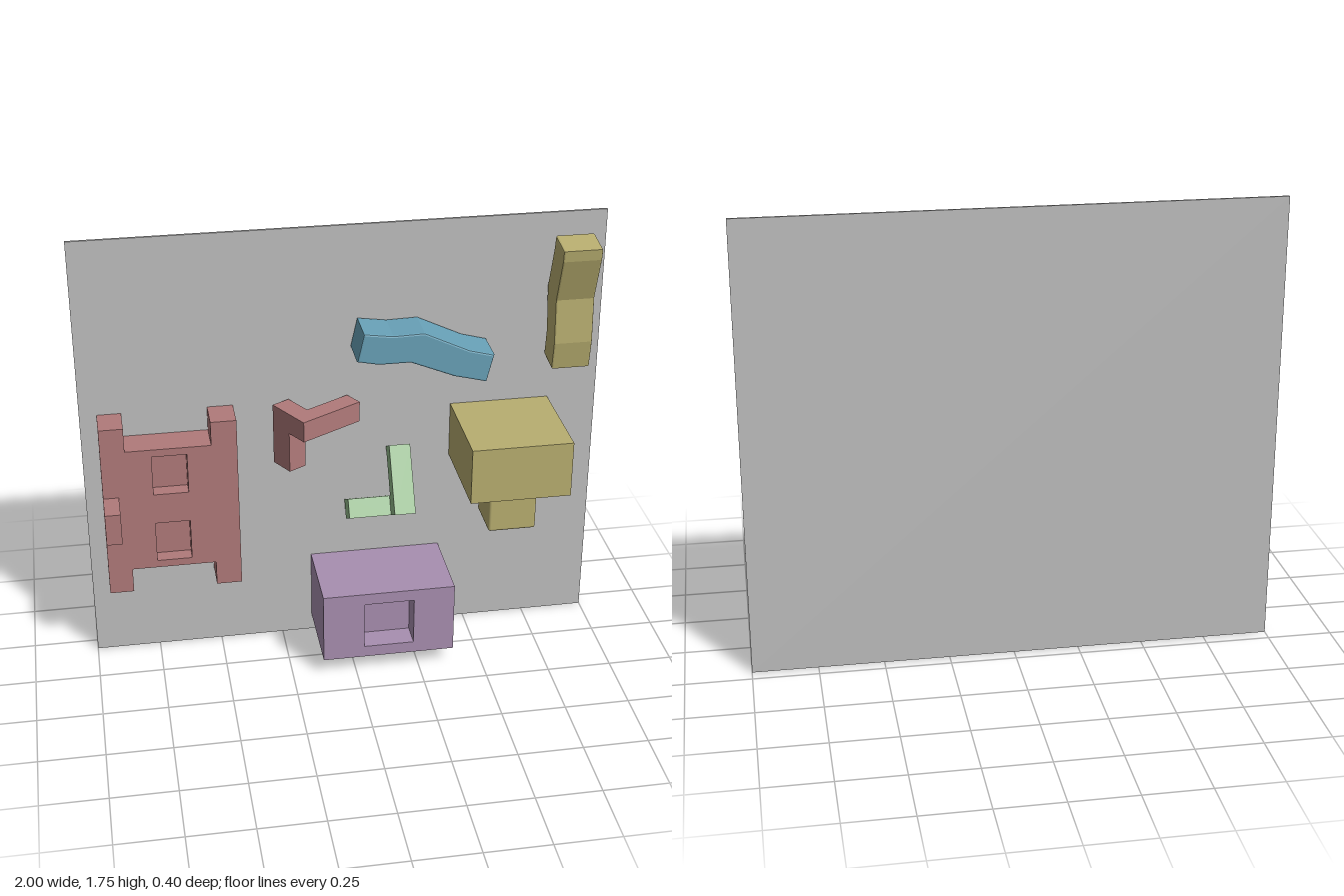
import * as THREE from 'three';
import { RoundedBoxGeometry } from 'three/addons/geometries/RoundedBoxGeometry.js';

const material = (name, color) => {
  const m = new THREE.MeshStandardMaterial({ color });
  m.name = name;
  return m;
};

const WALL = -0.19; // front surface of the board

export function createModel() {
  const grey = material('boardGrey', 0xbfbfbf);
  const red = material('dustyRed', 0xb07a7a);
  const purple = material('mutedPurple', 0xa88fb0);
  const yellow = material('strawYellow', 0xb8ae70);
  const blue = material('softBlue', 0x68a1b7);
  const green = material('leafGreen', 0x93bb8b);

  const model = new THREE.Group();
  model.name = 'climbingBoard';

  const add = (name, geometry, mat, parent = model) => {
    const mesh = new THREE.Mesh(geometry, mat);
    mesh.name = name;
    parent.add(mesh);
    return mesh;
  };

  // Box given by its extents on each axis
  const box = (name, [x0, x1], [y0, y1], [z0, z1], mat, parent) =>
    add(name, new THREE.BoxGeometry(x1 - x0, y1 - y0, z1 - z0), mat, parent)
      .position.set((x0 + x1) / 2, (y0 + y1) / 2, (z0 + z1) / 2);

  const points = (list) => list.map(([x, y]) => new THREE.Vector2(x, y));
  const rect = (x0, x1, y0, y1) => [[x0, y0], [x1, y0], [x1, y1], [x0, y1]];

  // Straight extrusion from one depth to another, with optional holes and rounded rims
  const slab = (outline, from, to, holes = [], bevel = 0) => {
    const shape = new THREE.Shape(points(outline));
    holes.forEach((h) => shape.holes.push(new THREE.Path(points(h))));
    return new THREE.ExtrudeGeometry(shape, {
      depth: to - from - 2 * bevel,
      bevelEnabled: bevel > 0,
      bevelThickness: bevel,
      bevelSize: bevel,
      bevelOffset: -bevel,
      bevelSegments: 2,
    }).translate(0, 0, from + bevel);
  };

  // Backing board
  box('board', [-1, 1], [0, 1.75], [-0.2, WALL], grey);

  // H-shaped tower with two recessed windows and a side knob
  const tower = new THREE.Group();
  tower.name = 'tower';
  model.add(tower);
  const towerOutline = [
    [-0.935, 0.34], [-0.843, 0.34], [-0.843, 0.44], [-0.52, 0.44], [-0.52, 0.34], [-0.422, 0.34],
    [-0.422, 1.052], [-0.52, 1.052], [-0.52, 0.955], [-0.843, 0.955], [-0.843, 1.052], [-0.935, 1.052],
  ];
  const windows = [[0.47, 0.637], [0.762, 0.925]].map(([a, b]) => rect(-0.745, -0.612, a, b));
  add('towerBack', slab(towerOutline, WALL, -0.12), red, tower);
  add('towerFront', slab(towerOutline, -0.12, -0.062, windows), red, tower);
  box('towerKnob', [-0.935, -0.876], [0.635, 0.762], [-0.062, 0.066], red, tower);

  // Three-armed corner piece: flat L plus a leg standing off the end of its short arm
  const cornerPiece = (name, mat, corner, longDir, shortDir, side) => {
    const piece = new THREE.Group();
    piece.name = name;
    const a = new THREE.Vector3(...longDir);
    const b = new THREE.Vector3(...shortDir);
    piece.quaternion.setFromRotationMatrix(
      new THREE.Matrix4().makeBasis(a, b, a.clone().cross(b)));
    piece.position.set(...corner);
    const t = 0.076;
    const el = [[0, 0], [0.27, 0], [0.27, t], [t, t], [t, 0.19], [0, 0.19]];
    add(name + 'Arms', slab(el, -0.041, 0.041), mat, piece);
    const leg = side > 0 ? [0.041, 0.205] : [-0.205, -0.041];
    box(name + 'Leg', [0, t], [0.09, 0.19], leg, mat, piece);
    model.add(piece);
  };
  const c = Math.cos(Math.PI / 6);
  cornerPiece('redCorner', red, [-0.18, 1.021, 0.018], [c, 0, -0.5], [-0.5, 0, -c], -1);
  cornerPiece('greenCorner', green, [0.211, 0.628, 0.014], [0, c, -0.5], [0, -0.5, -c], 1);

  // Purple block with a front recess and a smaller side recess
  const block = new THREE.Group();
  block.name = 'purpleBlock';
  model.add(block);
  const [by0, by1] = [0.068, 0.357];
  box('blockCore', [-0.13, 0.335], [by0, by1], [WALL, 0.04], purple, block);
  add('blockFront', slab(rect(-0.13, 0.335, by0, by1), 0.04, 0.137,
    [rect(0.032, 0.227, 0.115, 0.31)]), purple, block);
  add('blockSide', slab(rect(-0.137, -WALL, by0, by1), 0.335, 0.387,
    [rect(-0.068, 0.025, 0.165, 0.26)]).rotateY(Math.PI / 2), purple, block);

  // Yellow mallet shape: large head with a round-edged stem below
  box('malletHead', [0.422, 0.808], [0.763, 0.987], [WALL, 0.202], yellow);
  add('malletStem', new RoundedBoxGeometry(0.185, 0.25, 0.184, 2, 0.01), yellow)
    .position.set(0.613, 0.695, 0.01);

  // Blue bent bar lying flat on the board
  const blueOutline = [
    [0.055, 1.38], [0.165, 1.364], [0.283, 1.367], [0.455, 1.284], [0.551, 1.258],
    [0.524, 1.148], [0.4, 1.18], [0.232, 1.25], [0.112, 1.25], [0.03, 1.267],
  ];
  add('blueBentBar', slab(blueOutline, WALL, -0.034, [], 0.007), blue);

  // Yellow bent bar, its profile drawn sideways (first value is minus z)
  const barOutline = [
    [-0.003, 1.67], [0.113, 1.687], [0.127, 1.627], [0.185, 1.46], [0.164, 1.29],
    [0.18, 1.178], [0.07, 1.165], [0.053, 1.276], [0.062, 1.45], [0.002, 1.627],
  ];
  add('yellowBentBar', slab(barOutline, 0.783, 0.932, [], 0.007).rotateY(Math.PI / 2), yellow);

  return model;
}
